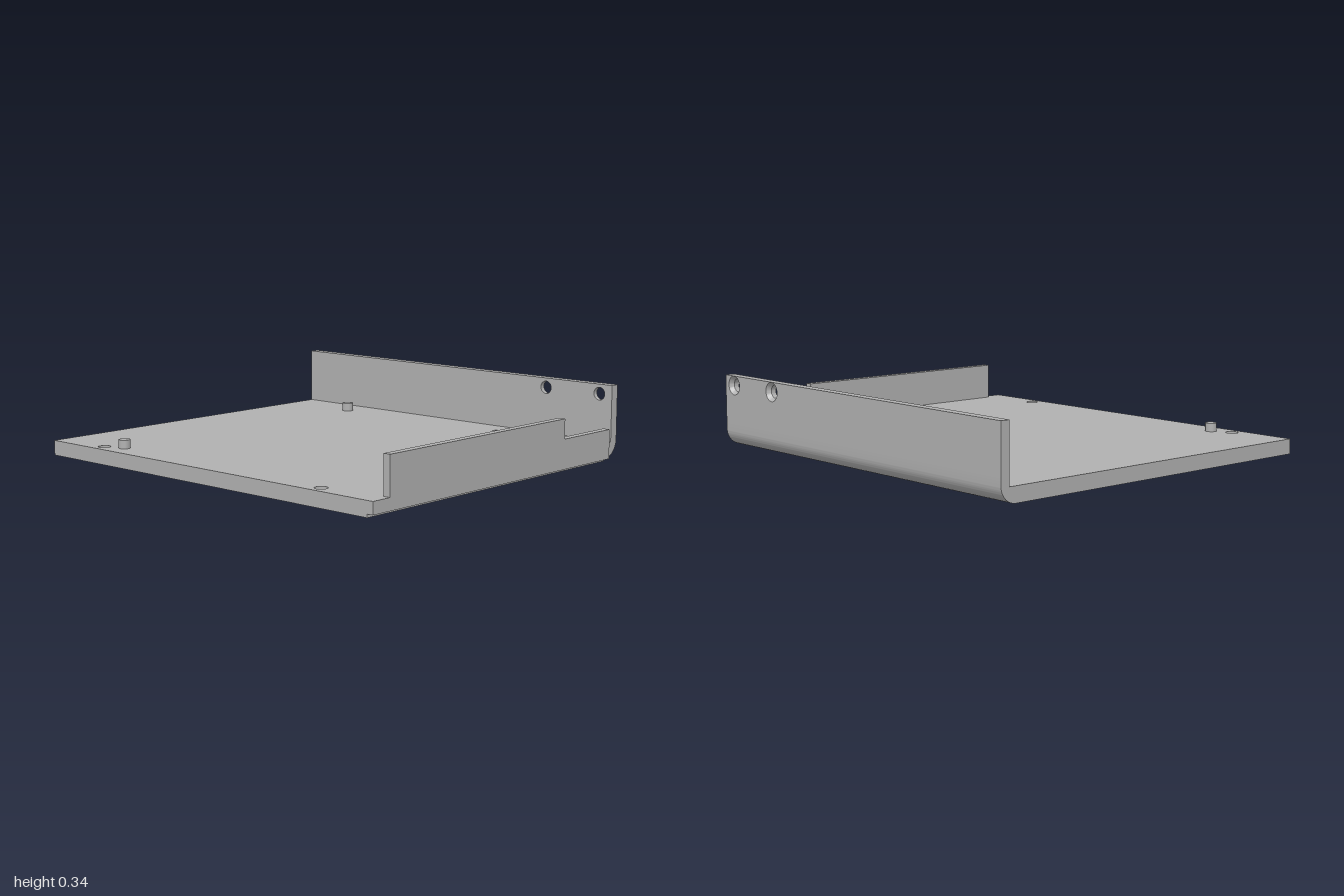
import * as THREE from 'three';
import { toCreasedNormals } from 'three/addons/utils/BufferGeometryUtils.js';

const steel = new THREE.MeshStandardMaterial({ color: 0xb0b0b0 });
steel.name = 'plain grey metal';
steel.side = THREE.DoubleSide;

const TOP = 0.07;    // top of the floor plate
const SINK = 0.03;   // countersink depth under the floor
const BACK = -0.89, BEND = -0.81;

const floorHoles = [
  { x: 0.37, z: -0.73, r: 0.035, R: 0.052 },
  { x: 0.745, z: -0.73, r: 0.035, R: 0.052 },
  { x: -0.7, z: 0.835, r: 0.029, R: 0.042 },
  { x: 0.67, z: 0.835, r: 0.029, R: 0.042 },
];
const wallHoles = [0.555, 0.86].map((x) => ({ x, y: 0.29, r: 0.03, R: 0.0445 }));

function shapeOf(points) {
  return new THREE.Shape(points.map(([a, b]) => new THREE.Vector2(a, b)));
}

function punch(shape, a, b, radius) {
  const hole = new THREE.Path();
  hole.absarc(a, b, radius, 0, Math.PI * 2, true);
  shape.holes.push(hole);
}

function extrude(shape, depth) {
  return new THREE.ExtrudeGeometry(shape, { depth, bevelEnabled: false, curveSegments: 16 });
}

export function createModel() {
  const model = new THREE.Group();
  const add = (name, geometry) => {
    const mesh = new THREE.Mesh(toCreasedNormals(geometry, 0.5), steel);
    mesh.name = name;
    model.add(mesh);
    return mesh;
  };

  // Floor in layers: relieved right edge, wide countersinks below, narrow bores above
  const layers = [
    ['floorUnderside', 0, 0.015, 0.97, 'R'],
    ['floorMiddle', 0.015, SINK, 1, 'R'],
    ['floorTop', SINK, TOP, 1, 'r'],
  ];
  for (const [name, y0, y1, right, key] of layers) {
    const shape = shapeOf([[-1, -0.89], [right, -0.89], [right, 0.73], [0.93, 0.73],
      [0.93, -BEND], [-1, -BEND]]);
    floorHoles.forEach((h) => punch(shape, h.x, -h.z, h[key]));
    add(name, extrude(shape, y1 - y0).rotateX(-Math.PI / 2).translate(0, y0, 0));
  }

  // Conical countersinks under the floor
  for (const h of floorHoles) {
    add('floorCountersink', new THREE.CylinderGeometry(h.r, h.R, SINK, 32, 1, true)
      .translate(h.x, SINK / 2, h.z));
  }

  // Rounded outside bend along the back
  const bend = new THREE.Shape();
  bend.moveTo(-BEND, 0);
  bend.absarc(-BEND, 0.08, 0.08, -Math.PI / 2, 0, false);
  bend.lineTo(0.89, 0.12);
  bend.lineTo(0.845, 0.12);
  bend.lineTo(0.845, TOP);
  bend.lineTo(-BEND, TOP);
  bend.closePath();
  add('backBend', extrude(bend, 1.93).rotateY(Math.PI / 2).translate(-1, 0, 0));

  // Back wall: outer layer has the countersinks, inner layer the bores
  for (const [name, z, depth, key] of [['backWallOuter', BACK, 0.02, 'R'],
    ['backWallInner', BACK + 0.02, 0.025, 'r']]) {
    const shape = shapeOf([[-1, 0.12], [0.93, 0.12], [0.93, 0.335], [-1, 0.335]]);
    wallHoles.forEach((h) => punch(shape, h.x, h.y, h[key]));
    add(name, extrude(shape, depth).translate(0, 0, z));
  }
  for (const h of wallHoles) {
    add('wallCountersink', new THREE.CylinderGeometry(h.r, h.R, 0.02, 32, 1, true)
      .rotateX(Math.PI / 2).translate(h.x, h.y, BACK + 0.01));
  }

  // Stepped side wall
  const side = shapeOf([[-0.79, TOP], [0.73, TOP], [0.73, 0.152], [0.38, 0.152],
    [0.38, 0.243], [-0.79, 0.243]]);
  add('sideWall', extrude(side, 0.035).rotateY(Math.PI / 2).translate(0.965, 0, 0));

  // Locating pegs
  for (const z of [-0.705, 0.795]) {
    add('locatingPeg', new THREE.CylinderGeometry(0.027, 0.027, 0.05, 32)
      .translate(-0.605, 0.085, z));
  }
  return model;
}
